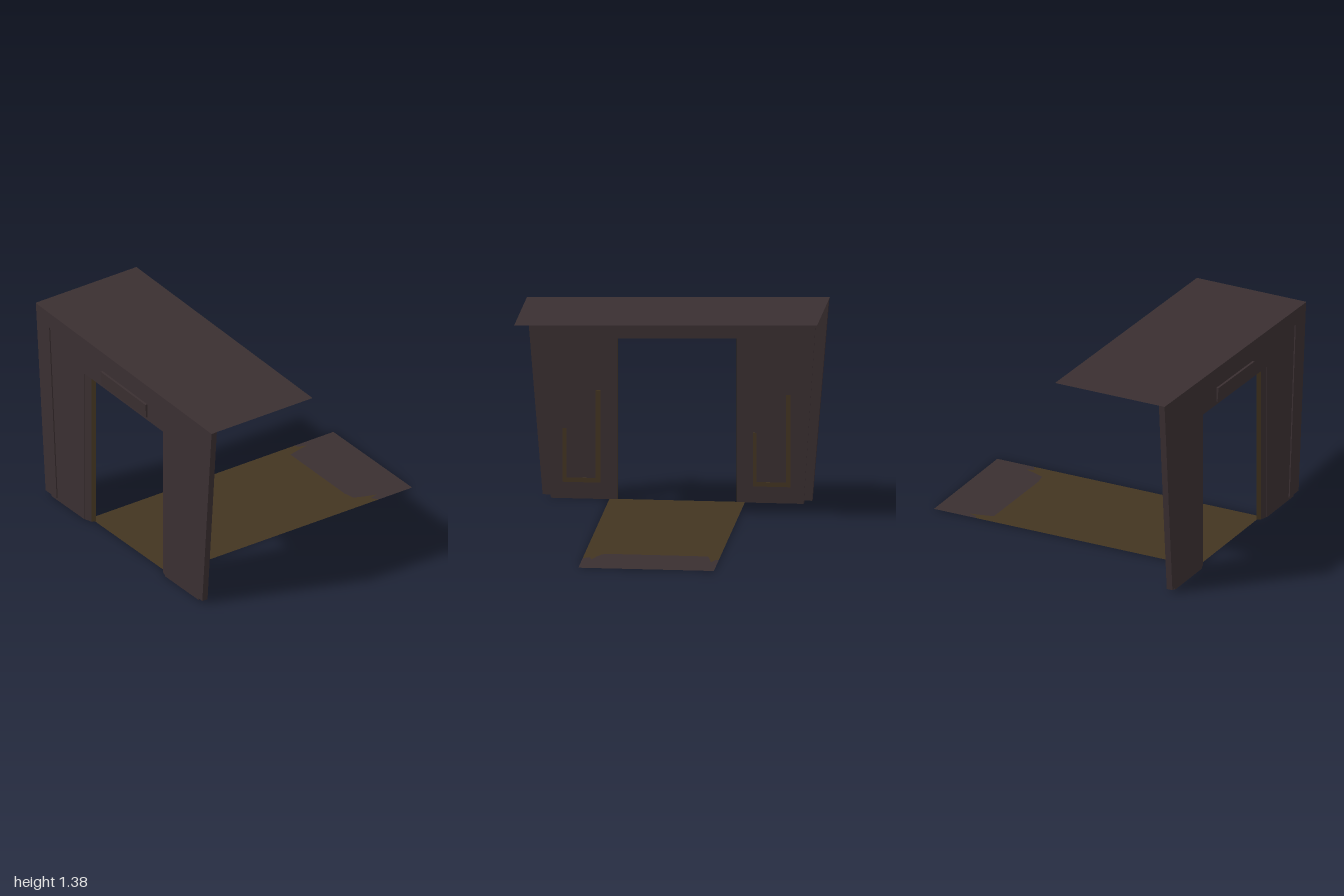
import * as THREE from 'three';

const dark = new THREE.MeshStandardMaterial({ name: 'dark plum metal', color: 0x3a2f31, side: THREE.DoubleSide });
const gold = new THREE.MeshStandardMaterial({ name: 'dull gold', color: 0x433521, side: THREE.DoubleSide });

// The whole top leans slightly: height falls towards +x
const lean = (x, y) => y - 0.025 * x;

function shapeOf(points) {
  return new THREE.Shape(points.map(([x, y]) => new THREE.Vector2(x, y)));
}

function addMesh(group, name, geometry, material) {
  const mesh = new THREE.Mesh(geometry, material);
  mesh.name = name;
  group.add(mesh);
  return mesh;
}

// Upright slab from a front outline, between two depths
function slab(points, zBack, zFront) {
  const g = new THREE.ExtrudeGeometry(shapeOf(points), { depth: zFront - zBack, bevelEnabled: false });
  return g.translate(0, 0, zBack);
}

// Post from an (x, z) plan section
function post(points, y0, y1) {
  const plan = points.map(([x, z]) => [x, -z]);
  const g = new THREE.ExtrudeGeometry(shapeOf(plan), { depth: y1 - y0, bevelEnabled: false });
  return g.rotateX(-Math.PI / 2).translate(0, y0, 0);
}

// Floor sheet from an (x, z) outline
function sheet(points, y) {
  const g = new THREE.ShapeGeometry(shapeOf(points.map(([x, z]) => [x, -z])));
  return g.rotateX(-Math.PI / 2).translate(0, y, 0);
}

export function createModel() {
  const model = new THREE.Group();
  model.name = 'gateway';

  // Outer frame with flared legs
  addMesh(model, 'outerFrame', slab([
    [-0.885, 0.02], [-0.995, 1.38], [0.99, 1.33], [0.885, 0.02],
    [0.76, 0.02], [0.845, 1.225], [-0.845, 1.267], [-0.76, 0.02],
  ], 0.95, 0.992), dark);

  // Recessed body around the doorway
  addMesh(model, 'gateBody', slab([
    [-0.83, 0], [-0.915, 1.31], [0.915, 1.265], [0.83, 0],
    [0.455, 0], [0.455, 1.08], [-0.455, 1.1], [-0.455, 0],
  ], 0.94, 0.984), dark);

  // Splayed door jambs with a gold inner edge
  for (const s of [-1, 1]) {
    const top = lean(s * 0.42, 1.092);
    const jamb = [[0.46, 0.982], [0.405, 0.965], [0.39, 0.942], [0.46, 0.942]];
    const edge = [[0.405, 0.966], [0.389, 0.942], [0.391, 0.941], [0.407, 0.964]];
    const mirror = (pts) => pts.map(([x, z]) => [s * x, z]);
    addMesh(model, s > 0 ? 'leftJamb' : 'rightJamb', post(mirror(jamb), 0, top), dark);
    addMesh(model, s > 0 ? 'leftJambEdge' : 'rightJambEdge', post(mirror(edge), 0.002, top - 0.002), gold);
  }

  // Panel above the door, its upper edge standing proud
  const panel = new THREE.BoxGeometry(0.505, 0.1, 0.03);
  const p = panel.attributes.position;
  for (let i = 0; i < p.count; i++) {
    const proud = p.getZ(i) > 0 && p.getY(i) < 0 ? 0.008 : 0;
    p.setZ(i, p.getZ(i) - proud);
    p.setY(i, lean(p.getX(i), p.getY(i)));
  }
  panel.computeVertexNormals();
  addMesh(model, 'doorPanel', panel, dark).position.set(0, 1.16, 0.985);

  // Thin leaning canopy
  const canopy = new THREE.PlaneGeometry(1.99, 0.805).rotateX(-Math.PI / 2);
  const c = canopy.attributes.position;
  for (let i = 0; i < c.count; i++) c.setY(i, lean(c.getX(i), 1.357));
  canopy.computeVertexNormals();
  addMesh(model, 'canopy', canopy, dark).position.set(-0.003, 0, 0.5875);

  // Floor strip: worn gold run and dark far end share a ragged boundary
  const boundary = [
    [-0.445, -0.69], [-0.42, -0.7], [-0.4, -0.76], [-0.385, -0.68], [-0.365, -0.6],
    [0.25, -0.595], [0.33, -0.61], [0.36, -0.68], [0.385, -0.76], [0.4, -0.7], [0.445, -0.73],
  ];
  addMesh(model, 'floorRun', sheet([...boundary, [0.445, 0.945], [-0.445, 0.945]], 0.002), gold);
  addMesh(model, 'floorEnd', sheet([...boundary, [0.445, -1], [-0.445, -1]], 0.002), dark);

  // Gold hook-shaped marks on the back of both pillars
  for (const x of [0.52, -0.73]) {
    const mark = new THREE.Group();
    mark.name = 'pillarMark';
    const strokes = [[0, 0.42, 0.03, 0.62], [0.22, 0.29, 0.025, 0.36], [0.11, 0.125, 0.24, 0.03]];
    for (const [dx, y, w, h] of strokes) {
      addMesh(mark, 'markStroke', new THREE.BoxGeometry(w, h, 0.004), gold).position.set(x + dx, y, 0.939);
    }
    model.add(mark);
  }

  return model;
}
